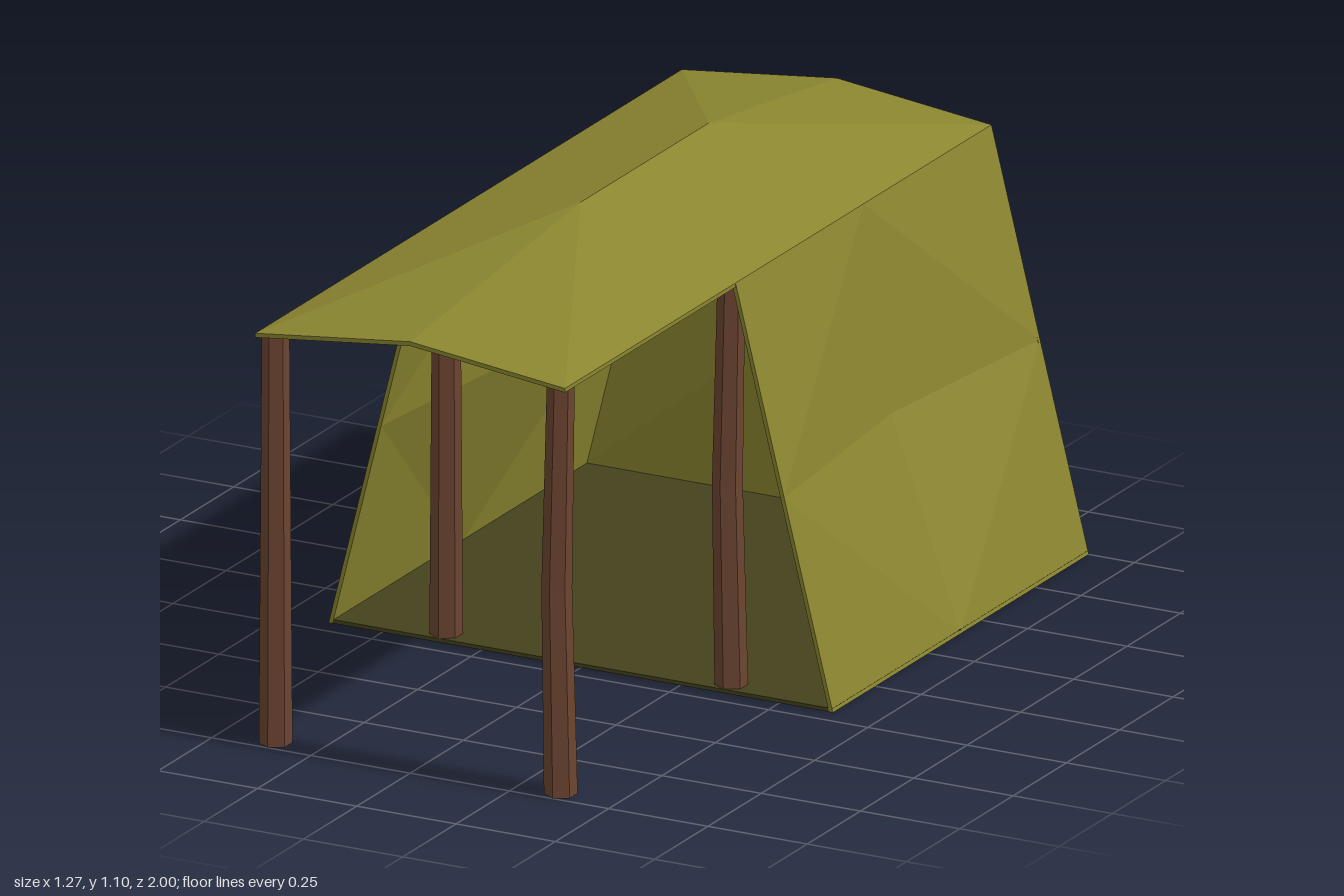
import * as THREE from 'three';

const canvas = new THREE.MeshStandardMaterial({ color: 0x8b8630, flatShading: true });
const groundsheet = new THREE.MeshStandardMaterial({ color: 0x45421c, flatShading: true });
const wood = new THREE.MeshStandardMaterial({ color: 0x6b4430, flatShading: true });

// Thin faceted sheet: outer faces, an offset inner copy, and a rim along open edges
function sheet(name, points, faces, offset, material) {
  const outer = points.map((p) => new THREE.Vector3(...p));
  const inner = outer.map((p) => p.clone().add(new THREE.Vector3(...offset)));
  const edges = faces.flatMap(([a, b, c]) => [[a, b], [b, c], [c, a]]);
  const verts = [];
  for (const [a, b, c] of faces) {
    verts.push(outer[a], outer[b], outer[c], inner[a], inner[c], inner[b]);
  }
  for (const [a, b] of edges) {
    if (edges.some(([c, d]) => c === b && d === a)) continue;
    verts.push(outer[a], inner[a], inner[b], outer[a], inner[b], outer[b]);
  }
  const geometry = new THREE.BufferGeometry().setFromPoints(verts);
  geometry.computeVertexNormals();
  const mesh = new THREE.Mesh(geometry, material);
  mesh.name = name;
  return mesh;
}

// Hexagonal post, slightly tapered, with an optional bend at mid height
function post(name, x, z, bend) {
  const geometry = new THREE.CylinderGeometry(0.031, 0.0375, 0.965, 6, 2);
  const pos = geometry.attributes.position;
  for (let i = 0; i < pos.count; i++) {
    if (Math.abs(pos.getY(i)) < 0.01) pos.setX(i, pos.getX(i) + bend);
  }
  geometry.computeVertexNormals();
  const mesh = new THREE.Mesh(geometry, wood);
  mesh.position.set(x, 0.4825, z);
  mesh.name = name;
  return mesh;
}

export function createModel() {
  const tent = new THREE.Group();
  tent.name = 'tent';
  const base = 0.635, eave = 0.39, eaveY = 0.97, peakY = 1.015, ridgeY = 1.095;
  const front = 0.2, back = -1, mid = -0.4, t = 0.01;
  const halfX = (base + eave) / 2, halfY = eaveY / 2;

  // Roof: a ridge between two sloping ends, overhanging the entrance
  tent.add(sheet('roof', [
    [eave, eaveY, 1], [eave, eaveY, back], [-eave, eaveY, back], [-eave, eaveY, 1],
    [0, peakY, 1], [0, peakY, back], [0, ridgeY, front], [0, ridgeY, mid],
  ], [
    [0, 1, 7], [0, 7, 6], [2, 3, 6], [2, 6, 7],
    [4, 0, 6], [3, 4, 6], [1, 5, 7], [5, 2, 7],
  ], [0, -t, 0], canvas));

  // Side walls: leaning in, with a sagging centre
  const wallFaces = [
    [0, 1, 7], [2, 3, 1], [4, 5, 3], [6, 7, 5],
    [1, 3, 8], [3, 5, 8], [5, 7, 8], [7, 1, 8],
  ];
  const wallPoints = [
    [base, 0, front], [base, 0, mid], [base, 0, back], [halfX, halfY, back],
    [eave, eaveY, back], [eave, eaveY, mid], [eave, eaveY, front], [halfX, halfY, front],
    [0.455, halfY, -0.41],
  ];
  for (const side of [1, -1]) {
    tent.add(sheet(
      side > 0 ? 'leftWall' : 'rightWall',
      wallPoints.map(([x, y, z]) => [x * side, y, z]),
      side > 0 ? wallFaces : wallFaces.map(([a, b, c]) => [a, c, b]),
      [-t * side, 0, 0], canvas));
  }

  // Back wall: pushed in at the centre
  tent.add(sheet('backWall', [
    [base, 0, back], [-base, 0, back], [-eave, eaveY, back], [0, peakY, back],
    [eave, eaveY, back], [0, 0.5, -0.93],
  ], [[0, 1, 5], [1, 2, 5], [2, 3, 5], [3, 4, 5], [4, 0, 5]], [0, 0, t], canvas));

  // Floor
  const floor = new THREE.Mesh(
    new THREE.BoxGeometry(base * 2 - 0.004, 0.009, front - back - 0.002), groundsheet);
  floor.position.set(0, 0.0045, (front + back) / 2);
  floor.name = 'floor';
  tent.add(floor);

  // Posts under the awning and just inside the entrance
  for (const side of [1, -1]) {
    const label = side > 0 ? 'left' : 'right';
    const bend = side > 0 ? -0.01 : 0;
    tent.add(post(label + 'AwningPost', side * 0.359, 0.962, bend));
    tent.add(post(label + 'EntrancePost', side * 0.359, 0.162, bend));
  }
  return tent;
}
